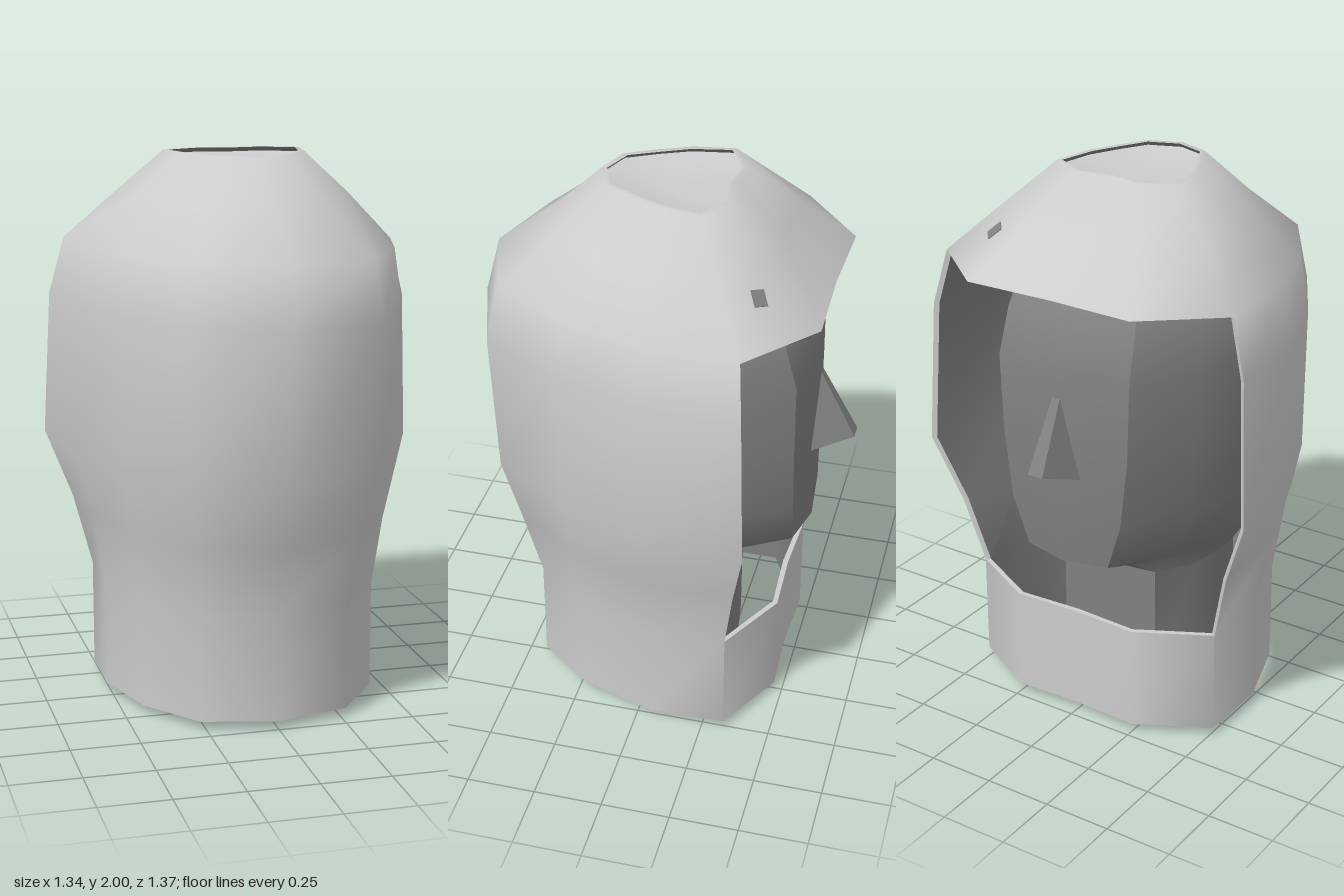
import * as THREE from 'three';
import { toCreasedNormals } from 'three/addons/utils/BufferGeometryUtils.js';

const N = 12;
const v = (x, y, z) => new THREE.Vector3(x, y, z);

// Expand a half section [x, z] x 7 (centre line to centre line) into a closed ring
function ring(y, half) {
  const pts = half.map(([x, z]) => v(x, y, z));
  for (let i = 5; i > 0; i--) pts.push(v(-half[i][0], y, half[i][1]));
  return pts;
}

function build(points, crease) {
  return toCreasedNormals(new THREE.BufferGeometry().setFromPoints(points), crease);
}

function quad(out, a, b, c, d) {
  out.push(a, b, c, a, c, d);
}

// Thick shell from stacked rings (bottom to top), leaving out the cells that are open
function shell(rings, thickness, isOpen) {
  const inner = rings.map(r => r.map(p => {
    const k = 1 - thickness / Math.hypot(p.x, p.z);
    return v(p.x * k, p.y, p.z * k);
  }));
  const skin = [], lining = [];
  const filled = (j, i) => j >= 0 && j < rings.length - 1 && !isOpen(j, (i + N) % N);
  for (let j = 0; j < rings.length - 1; j++) for (let i = 0; i < N; i++) {
    if (!filled(j, i)) continue;
    const n = (i + 1) % N;
    const o = [rings[j][i], rings[j][n], rings[j + 1][n], rings[j + 1][i]];
    const s = [inner[j][i], inner[j][n], inner[j + 1][n], inner[j + 1][i]];
    quad(skin, ...o);
    quad(lining, s[3], s[2], s[1], s[0]);
    // rim walls along every free edge
    [[j - 1, i], [j, i + 1], [j + 1, i], [j, i - 1]].forEach(([a, b], e) => {
      const f = (e + 1) % 4;
      if (!filled(a, b)) quad(skin, o[e], s[e], s[f], o[f]);
    });
  }
  return { skin: build(skin, 1.15), lining: build(lining, 1.15) };
}

// Fan from a ring to a centre point, facing up
function fan(out, points, centre) {
  points.forEach((p, i) => out.push(centre, p, points[(i + 1) % N]));
}

// Skin from stacked rings, open below and closed on top
function solid(rings) {
  const out = [];
  const last = rings.length - 1;
  for (let j = 0; j < last; j++) for (let i = 0; i < N; i++) {
    const n = (i + 1) % N;
    quad(out, rings[j][i], rings[j][n], rings[j + 1][n], rings[j + 1][i]);
  }
  fan(out, rings[last], v(0, rings[last][0].y + 0.03, 0));
  return build(out, 0.68);
}

export function createModel() {
  const group = new THREE.Group();
  const cloth = new THREE.MeshStandardMaterial({ color: 0xcccccc, side: THREE.DoubleSide });
  cloth.name = 'light grey';
  const dark = new THREE.MeshStandardMaterial({ color: 0x808080, side: THREE.DoubleSide });
  dark.name = 'dark grey';
  const add = (name, geometry, material) => {
    const mesh = new THREE.Mesh(geometry, material);
    mesh.name = name;
    group.add(mesh);
    return mesh;
  };

  // Hood: collar, flared sides, brim over the face opening, narrow crown
  const collar = [[0, 0.495], [0.27, 0.43], [0.43, 0.22], [0.515, -0.05], [0.51, -0.33], [0.25, -0.47], [0, -0.46]];
  const crown = [[0, 0.245], [0.12, 0.2], [0.18, 0.09], [0.23, -0.02], [0.255, -0.17], [0.13, -0.24], [0, -0.22]];
  const hoodRings = [
    ring(0.03, collar),
    ring(0.42, collar),
    ring(0.68, [[0, 0.57], [0.3, 0.49], [0.46, 0.25], [0.56, -0.04], [0.575, -0.37], [0.28, -0.5], [0, -0.5]]),
    ring(0.93, [[0, 0.655], [0.335, 0.55], [0.51, 0.27], [0.635, -0.03], [0.67, -0.42], [0.3, -0.55], [0, -0.55]]),
    ring(1.46, [[0, 0.685], [0.345, 0.57], [0.515, 0.27], [0.62, -0.03], [0.645, -0.4], [0.32, -0.58], [0, -0.57]]),
    ring(1.67, [[0, 0.63], [0.32, 0.53], [0.49, 0.25], [0.57, -0.03], [0.59, -0.38], [0.33, -0.595], [0, -0.585]]),
    ring(1.84, [[0, 0.41], [0.21, 0.35], [0.33, 0.17], [0.405, -0.02], [0.42, -0.27], [0.23, -0.415], [0, -0.4]]),
    ring(2.0, crown),
  ];
  const hoodParts = shell(hoodRings, 0.02, (j, i) => j >= 1 && j <= 4 && i >= 4 && i <= 7);
  const hood = add('hood', hoodParts.skin, cloth);
  add('hoodLining', hoodParts.lining, dark);

  // Shallow dish closing the crown
  const dish = [];
  fan(dish, ring(1.985, crown.map(([x, z]) => [x * 0.97, z * 0.97])), v(0, 1.93, -0.02));
  add('crownDish', build(dish, 1), cloth);

  // Head and neck: [y, half width, back z, side z, face edge x, face edge z, face centre z]
  const neck = y => ring(y, [[0, 0.33], [0.2, 0.3], [0.28, 0.18], [0.305, 0.03], [0.28, -0.12], [0.2, -0.24], [0, -0.27]]);
  const headRings = [
    [0.61, 0.37, 0.4, 0, 0.17, -0.34, -0.37],
    [0.67, 0.41, 0.44, 0, 0.17, -0.5, -0.54],
    [0.85, 0.46, 0.5, -0.02, 0.23, -0.51, -0.555],
    [1.1, 0.48, 0.55, -0.02, 0.26, -0.51, -0.555],
    [1.39, 0.5, 0.57, -0.02, 0.27, -0.51, -0.555],
    [1.56, 0.48, 0.53, -0.02, 0.26, -0.46, -0.515],
    [1.67, 0.42, 0.45, -0.02, 0.23, -0.39, -0.44],
    [1.76, 0.28, 0.3, -0.02, 0.15, -0.25, -0.28],
  ].map(([y, w, back, side, fx, fz, fc]) => ring(y, [
    [0, back], [w * 0.5, back * 0.88], [w * 0.87, back * 0.52], [w, side],
    [(w + fx) * 0.52, (side + fz) * 0.52], [fx, fz], [0, fc],
  ]));
  add('head', solid([neck(0), neck(0.54), ...headRings]), dark);

  // Nose: wedge with a narrow ridge
  const [tl, tr] = [v(0.015, 1.31, -0.55), v(-0.015, 1.31, -0.55)];
  const [bl, br] = [v(0.085, 1.01, -0.54), v(-0.085, 1.01, -0.54)];
  const [nl, nr] = [v(0.03, 1.06, -0.685), v(-0.03, 1.06, -0.685)];
  const nose = [];
  quad(nose, tr, nr, nl, tl);
  quad(nose, nr, br, bl, nl);
  nose.push(tl, nl, bl, tr, br, nr);
  add('nose', build(nose, 0.3), dark);

  // Small patch lying on the brim
  const patch = add('brimPatch', new THREE.BoxGeometry(0.06, 0.05, 0.004), dark);
  const hit = new THREE.Raycaster(v(0.365, 3, -0.39), v(0, -1, 0)).intersectObject(hood)[0];
  patch.position.copy(hit.point).addScaledVector(hit.face.normal, 0.001);
  patch.quaternion.setFromUnitVectors(v(0, 0, 1), hit.face.normal);

  return group;
}
